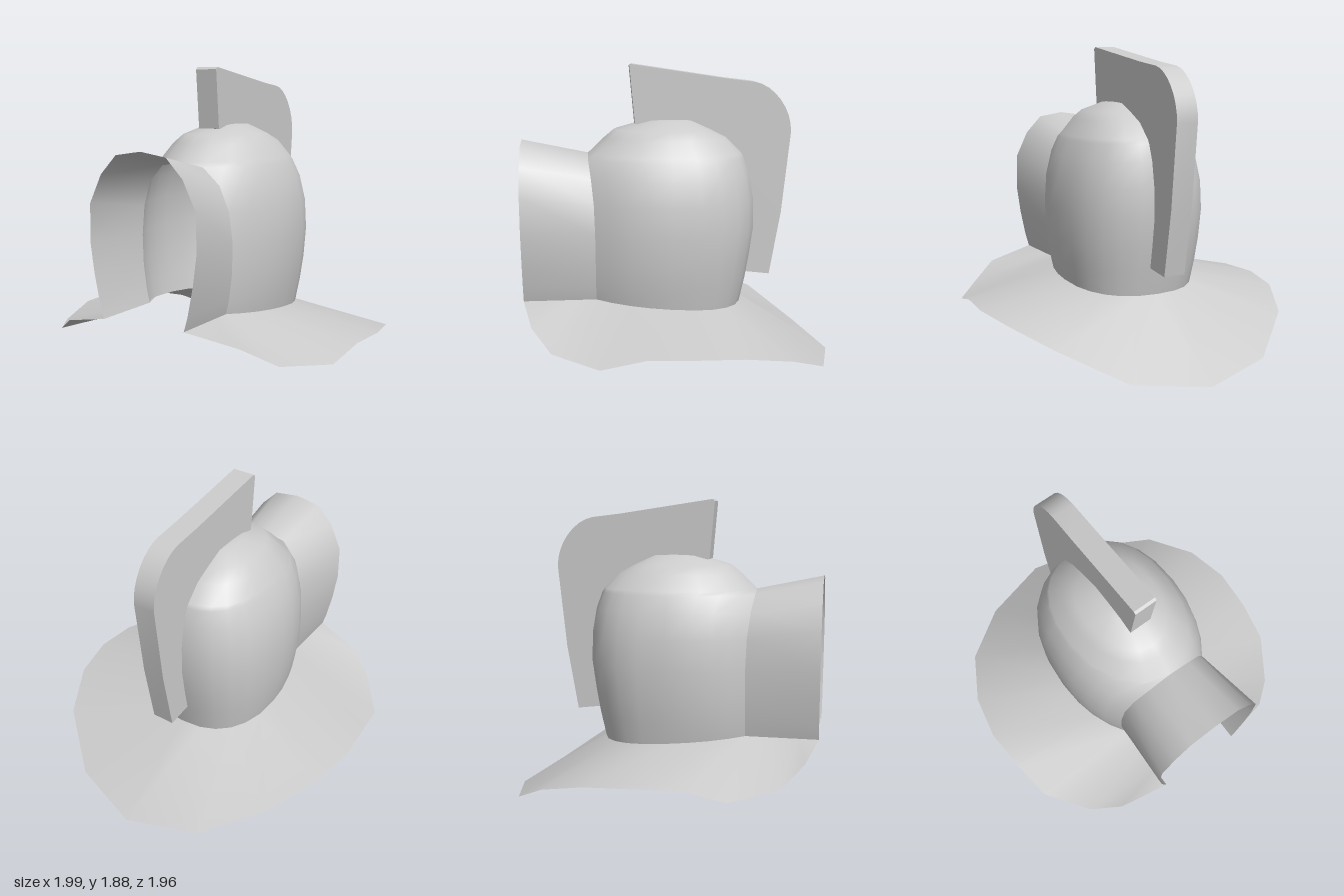
import * as THREE from 'three';
import { mergeVertices, toCreasedNormals } from 'three/addons/utils/BufferGeometryUtils.js';

const material = new THREE.MeshStandardMaterial({ color: 0xcccccc, side: THREE.DoubleSide });

// Smooth surface through rows of [x, y, z] points
function loft(name, rows) {
  const n = rows[0].length, index = [];
  for (let i = 0; i < rows.length - 1; i++) {
    for (let j = 0; j < n - 1; j++) {
      const a = i * n + j, b = a + n;
      index.push(a, b, a + 1, b, b + 1, a + 1);
    }
  }
  let geo = new THREE.BufferGeometry();
  geo.setAttribute('position', new THREE.Float32BufferAttribute(rows.flat(2), 3));
  geo.setIndex(index);
  geo = mergeVertices(geo, 1e-4);
  geo.computeVertexNormals();
  const mesh = new THREE.Mesh(geo, material);
  mesh.name = name;
  return mesh;
}

// Continue a half row to the other side of x = 0
const flip = ([x, y, z]) => [-x, y, z];
const mirror = (half) => [...half, ...half.slice(0, -1).reverse().map(flip)];

// Skull levels: height, half width, back z, front z, half width of face opening
const levels = [
  [1.545, 0, 0.08, 0.08, 0],
  [1.535, 0.12, -0.08, 0.21, 0],
  [1.48, 0.23, -0.19, 0.41, 0],
  [1.43, 0.29, -0.29, 0.47, 0],
  [1.335, 0.355, -0.385, 0.57, 0],
  [1.31, 0.37, -0.4, 0.57, 0.14],
  [1.21, 0.415, -0.435, 0.555, 0.24],
  [1.06, 0.45, -0.46, 0.54, 0.295],
  [0.88, 0.46, -0.465, 0.535, 0.315],
  [0.7, 0.45, -0.44, 0.535, 0.31],
  [0.55, 0.43, -0.415, 0.535, 0.29],
  [0.44, 0.405, -0.38, 0.535, 0.27],
];
const MID = 0.08, SPLIT = 0.4;

// Point on a level: t = 0 at the face opening, 1 at the middle of the back
function skullPoint(level, t) {
  const [y, s, back, front, w] = level;
  let x, z;
  if (t < SPLIT) {
    const end = s > 0 ? Math.acos(w / s) : Math.PI / 2;
    const a = end * (1 - t / SPLIT);
    x = s * Math.cos(a);
    z = MID + (front - MID) * Math.sin(a) / Math.sin(end);
  } else {
    const a = (t - SPLIT) / (1 - SPLIT) * Math.PI / 2;
    x = t === 1 ? 0 : s * Math.cos(a) ** 0.83;
    z = MID + (back - MID) * Math.sin(a) ** 0.83;
  }
  // The lowest level slopes down to the back
  const isBase = level === levels[levels.length - 1];
  return [x, isBase ? 0.39 + 0.075 * (z + 0.38) / 0.915 : y, z];
}

function makeSkull() {
  const steps = 10;
  const rows = levels.map((level) =>
    mirror(Array.from({ length: steps + 1 }, (_, i) => skullPoint(level, i / steps))));
  return loft('skull', rows);
}

// Arched hood projecting forward from the face opening
function makeFaceHood() {
  const inner = levels.slice(4).map((l) => skullPoint(l, 0)).reverse();
  const outer = [
    [0.27, 0.465], [0.295, 0.55], [0.33, 0.72], [0.355, 0.9],
    [0.35, 1.12], [0.27, 1.285], [0.165, 1.395], [0, 1.42],
  ].map(([x, y]) => [x, y, 0.975]);
  inner[7][0] = 0;
  const rows = [inner, outer].map((half) => mirror(half.map(flip)));
  return loft('faceHood', rows);
}

// Wide sloping brim, open at the face and dipping at the neck
function makeBrim() {
  const base = levels[levels.length - 1];
  const outer = [
    [0.27, 0.465, 0.975], [0.58, 0.4, 0.91], [0.75, 0.3, 0.79], [0.94, 0.27, 0.52],
    [0.975, 0.33, 0.27], [0.995, 0.33, 0], [0.94, 0.305, -0.28], [0.78, 0.22, -0.58],
    [0.45, 0.05, -0.85], [0, 0, -0.98],
  ];
  const inner = [
    ...[0.975, 0.85, 0.68].map((z) => [0.27, 0.465, z]),
    ...[0, 0.2, 0.4, 0.5, 0.7, 0.9, 1].map((t) => skullPoint(base, t)),
  ];
  return loft('brim', [mirror(inner), mirror(outer)]);
}

// Upright crest plate with a rounded rear corner, drawn as (z, y)
function makeCrest() {
  const shape = new THREE.Shape();
  shape.moveTo(0.28, 1.515);
  shape.lineTo(0.31, 1.865);
  shape.lineTo(0.295, 1.878);
  shape.lineTo(-0.28, 1.79);
  shape.lineTo(-0.46, 1.768);
  shape.bezierCurveTo(-0.58, 1.75, -0.7, 1.6, -0.692, 1.45);
  shape.lineTo(-0.64, 0.95);
  shape.lineTo(-0.57, 0.545);
  shape.lineTo(-0.41, 0.565);
  shape.lineTo(-0.43, 0.95);
  shape.lineTo(-0.36, 1.25);
  shape.lineTo(-0.1, 1.45);
  const geo = new THREE.ExtrudeGeometry(shape, { depth: 0.14, bevelEnabled: false, curveSegments: 8 });
  geo.translate(0, 0, -0.07);
  geo.rotateY(-Math.PI / 2);
  const mesh = new THREE.Mesh(toCreasedNormals(geo, 0.5), material);
  mesh.name = 'crest';
  return mesh;
}

export function createModel() {
  const helmet = new THREE.Group();
  helmet.name = 'helmet';
  helmet.add(makeSkull(), makeFaceHood(), makeBrim(), makeCrest());
  return helmet;
}
